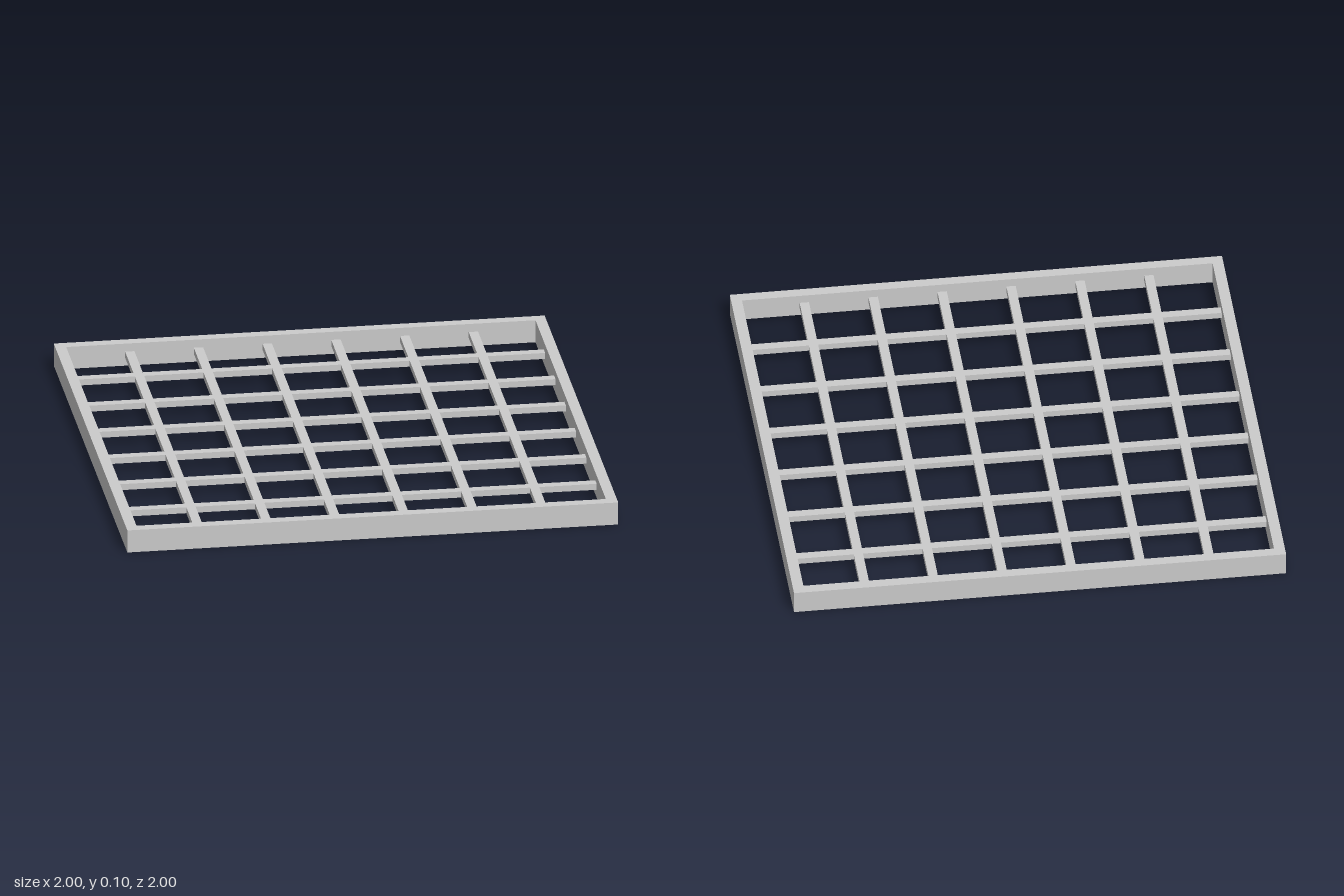
import * as THREE from 'three';

const HEIGHT = 0.096, RIM = 0.044;
const BAR_WIDTH = 0.038, BAR_HEIGHT = 0.026, BAR_Y = 0.048;
const COUNT = 6, SPACING = 0.28;

export function createModel() {
  const model = new THREE.Group();
  model.name = 'grate';
  const material = new THREE.MeshStandardMaterial({ color: 0xcccccc, flatShading: true });

  // Square outer frame, open in the middle
  const square = (h) => [[-h, -h], [h, -h], [h, h], [-h, h]].map(([x, y]) => new THREE.Vector2(x, y));
  const outline = new THREE.Shape(square(1));
  outline.holes.push(new THREE.Path(square(1 - RIM).reverse()));
  const frameGeometry = new THREE.ExtrudeGeometry(outline, { depth: HEIGHT, bevelEnabled: false });
  frameGeometry.rotateX(-Math.PI / 2);
  const frame = new THREE.Mesh(frameGeometry, material);
  frame.name = 'frame';
  model.add(frame);

  // Crossing bars between the inner walls of the frame
  const length = 2 * (1 - RIM);
  const addBar = (name, width, depth, x, z) => {
    const bar = new THREE.Mesh(new THREE.BoxGeometry(width, BAR_HEIGHT, depth), material);
    bar.name = name;
    bar.position.set(x, BAR_Y, z);
    model.add(bar);
  };
  for (let i = 0; i < COUNT; i++) {
    const offset = (i - (COUNT - 1) / 2) * SPACING;
    addBar('lengthwiseBar', BAR_WIDTH, length, offset + 0.003, 0);
    addBar('crosswiseBar', length, BAR_WIDTH, 0, offset - 0.011);
  }
  return model;
}
